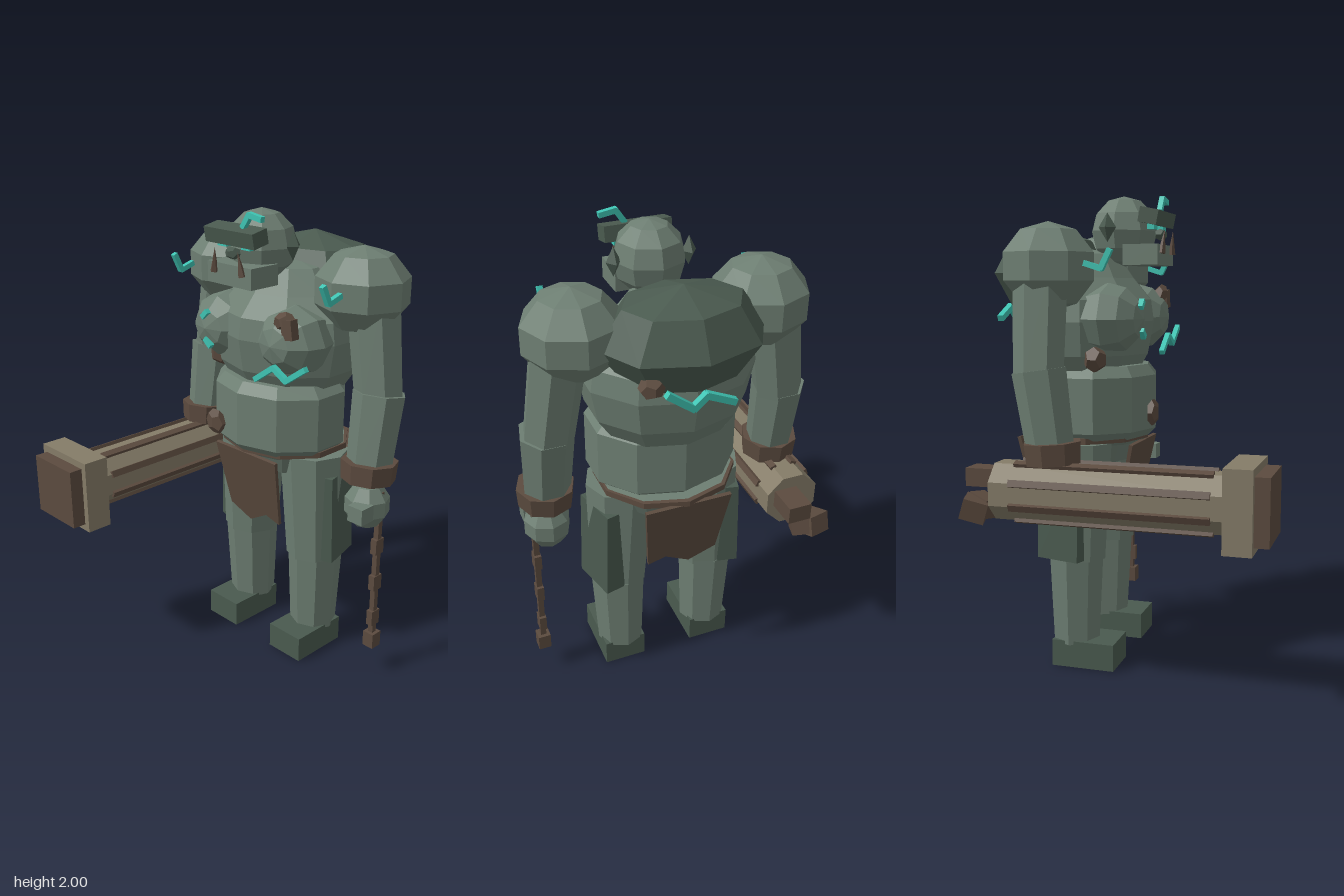
import * as THREE from 'three';

const mat = (name, color) => new THREE.MeshStandardMaterial({ name, color, flatShading: true });

export function createModel() {
  const root = new THREE.Group();
  root.name = 'stoneGiant';
  const stone = mat('stone green', 0x6d7e72);
  const dark = mat('dark stone', 0x4a5a4f);
  const brown = mat('rust brown', 0x5c4b3f);
  const tan = mat('pillar tan', 0x857c68);
  const glow = mat('glowing teal', 0x3fc4b3);
  const CX = 0.02; // body centre line

  const V = (x, y, z) => new THREE.Vector3(x, y, z);
  const add = (name, geo, m, p, r = [0, 0, 0], s = [1, 1, 1]) => {
    const mesh = new THREE.Mesh(geo, m);
    mesh.name = name;
    mesh.position.set(...p);
    mesh.rotation.set(...r);
    mesh.scale.set(...s);
    root.add(mesh);
    return mesh;
  };
  const box = (name, m, size, p, r) => add(name, new THREE.BoxGeometry(...size), m, p, r);
  const ball = (name, m, size, p, w = 8, h = 6, r) =>
    add(name, new THREE.SphereGeometry(1, w, h), m, p, r, size);
  const chunk = (name, m, size, p, r) => add(name, new THREE.DodecahedronGeometry(1), m, p, r, size);
  // tapered limb between two points
  const limb = (name, m, a, b, ra, rb, sides = 8) => {
    const A = V(...a), B = V(...b), d = A.clone().sub(B);
    const mesh = add(name, new THREE.CylinderGeometry(ra, rb, d.length(), sides), m,
      A.clone().add(B).multiplyScalar(0.5).toArray());
    mesh.quaternion.setFromUnitVectors(V(0, 1, 0), d.normalize());
    return mesh;
  };
  // lathe body part squashed in depth
  const turned = (name, m, pts, z, depth, sides) => add(name,
    new THREE.LatheGeometry(pts.map(([r, y]) => new THREE.Vector2(r, y)), sides), m,
    [CX, 0, z], [0, 0, 0], [1, 1, depth]);
  // zigzag crack made of short bars
  const crack = (name, pts, w = 0.022) => {
    for (let i = 0; i + 1 < pts.length; i++) {
      const A = V(...pts[i]), B = V(...pts[i + 1]);
      const bar = box(name, glow, [w, w, A.distanceTo(B) + w * 0.4],
        A.clone().add(B).multiplyScalar(0.5).toArray());
      bar.lookAt(B);
    }
  };

  // Trunk
  turned('belly', stone, [[0, 0.94], [0.24, 0.95], [0.312, 1.01], [0.312, 1.24], [0.27, 1.285], [0, 1.3]], -0.21, 0.85, 10);
  turned('pelvis', stone, [[0, 0.86], [0.22, 0.87], [0.285, 0.99], [0, 1.0]], -0.25, 0.88, 10);
  turned('belt', brown, [[0.22, 0.965], [0.295, 0.965], [0.295, 0.99], [0.22, 0.99]], -0.25, 0.92, 10);
  turned('torso', stone, [[0, 1.23], [0.265, 1.24], [0.325, 1.33], [0.355, 1.47], [0.34, 1.56],
    [0.25, 1.65], [0.17, 1.75], [0, 1.78]], -0.26, 0.86, 10);
  ball('backHump', dark, [0.33, 0.2, 0.245], [CX, 1.67, -0.41], 8, 4);

  // Legs, arms and chest, one pass for each side
  for (const s of [-1, 1]) {
    const x = (d) => CX + s * d;
    box('foot', dark, [0.183, 0.115, 0.275], [x(0.205), 0.0575, -0.183]);
    limb('shin', stone, [x(0.205), 0.48, -0.24], [x(0.2), 0.1, -0.243], 0.122, 0.104);
    limb('thigh', stone, [x(0.185), 0.96, -0.235], [x(0.203), 0.465, -0.235], 0.15, 0.125);
    box('thighPlate', dark, [0.15, 0.4, 0.2], [x(0.25), 0.675, -0.26], [0, s * 0.25, s * 0.03]);
    ball('chest', stone, [0.163, 0.147, 0.15], [x(0.193), 1.482, -0.09], 8, 6, [Math.PI / 2, 0, 0]).scale.set(0.163, 0.15, 0.147);
    ball('shoulder', stone, [0.203, 0.178, 0.2], [x(0.375), 1.69, -0.28], 8, 5);
    limb('upperArm', stone, [x(0.43), 1.66, -0.29], [x(0.488), 1.27, -0.28], 0.112, 0.102, 7);
    limb('forearm', stone, [x(0.494), 1.29, -0.275], [x(0.497), 0.94, -0.225], 0.111, 0.096, 7);
    limb('bracer', brown, [x(0.5), 1.01, -0.225], [x(0.5), 0.925, -0.22], 0.12, 0.114);
    ball('hand', stone, [0.1, 0.108, 0.1], [x(0.502), 0.812, -0.22], 8, 5);
    box('thumb', stone, [0.075, 0.07, 0.075], [x(0.545), 0.815, -0.125]);
    crack('shoulderCrack', [[s * 0.43, 1.75, 0], [s * 0.43, 1.68, -0.035], [s * 0.43, 1.7, -0.1]]);

    // Face pairs
    add('ear', new THREE.OctahedronGeometry(1), dark, [x(0.152), 1.855, -0.11], [0, 0, 0], [0.03, 0.06, 0.038]);
    box('eye', glow, [0.05, 0.022, 0.03], [x(0.068), 1.86, 0.058]);
    add('tusk', new THREE.ConeGeometry(0.017, 0.1, 5), brown, [x(0.073), 1.8, 0.107], [0.1, 0, s * 0.15]);
  }

  // Head
  ball('head', stone, [0.146, 0.147, 0.146], [CX, 1.845, -0.085], 8, 6);
  box('brow', dark, [0.277, 0.062, 0.08], [CX, 1.9, 0.06], [0.2, 0, 0]);
  box('jaw', stone, [0.25, 0.085, 0.15], [CX, 1.745, 0.022]);
  chunk('nose', dark, [0.035, 0.025, 0.03], [CX, 1.83, 0.075]);
  crack('headCrack', [[0.065, 1.935, 0.06], [0.1, 1.985, 0.06], [0.165, 1.975, 0.06]]);

  // Torn cloths hanging from the belt
  const cloth = new THREE.Shape([[-0.165, 0], [0.2, 0], [0.165, -0.33], [0.09, -0.305],
    [-0.02, -0.37], [-0.135, -0.315]].map(([a, b]) => new THREE.Vector2(a, b)));
  const clothGeo = new THREE.ExtrudeGeometry(cloth, { depth: 0.016, bevelEnabled: false });
  add('frontCloth', clothGeo, brown, [0, 0.958, -0.008], [0.21, 0, 0]);
  add('backCloth', clothGeo, brown, [0, 0.97, -0.515], [-0.21, 0, 0]);

  // Cracks on chest and back
  crack('chestCrack', [[0.13, 1.33, 0.052], [0.23, 1.4, 0.052], [0.3, 1.36, 0.052], [0.4, 1.43, 0.052]]);
  crack('chestMark', [[-0.19, 1.53, 0.05], [-0.165, 1.555, 0.05]]);
  crack('chestMark', [[-0.175, 1.435, 0.05], [-0.145, 1.41, 0.05]]);
  crack('backCrack', [[0.16, 1.56, -0.612], [0.06, 1.485, -0.612], [0.01, 1.53, -0.612], [-0.1, 1.48, -0.612]], 0.026);

  // Rusty lumps
  chunk('chestLump', brown, [0.055, 0.04, 0.03], [0.25, 1.585, 0.015], [0, 0, 0.3]);
  box('chestLump', brown, [0.055, 0.08, 0.04], [0.283, 1.56, 0.02], [0, 0, 0.15]);
  chunk('flankLump', brown, [0.05, 0.055, 0.05], [-0.265, 1.32, -0.12]);
  chunk('bellyLump', brown, [0.055, 0.058, 0.025], [-0.09, 1.09, 0.075]);
  chunk('backLump', brown, [0.05, 0.045, 0.045], [0.2, 1.57, -0.56]);

  // Broken chain in the left hand
  const chX = 0.58, chZ = -0.23;
  box('chain', brown, [0.024, 0.72, 0.024], [chX, 0.52, chZ]);
  for (const y of [0.8, 0.63, 0.455, 0.28]) box('chainLink', brown, [0.03, 0.07, 0.05], [chX, y, chZ]);
  box('chainEnd', brown, [0.054, 0.07, 0.054], [chX, 0.17, chZ]);

  // Stone pillar held as a club in the right hand
  const px = -0.485, py = 0.81;
  add('pillar', new THREE.CylinderGeometry(0.122, 0.122, 0.95, 8), tan, [px, py, 0.025], [Math.PI / 2, Math.PI / 8, 0]);
  for (let i = 0; i < 8; i++) {
    const a = Math.PI / 8 + i * Math.PI / 4;
    box('pillarRib', brown, [0.022, 0.028, 0.8],
      [px + Math.cos(a) * 0.12, py + Math.sin(a) * 0.12, 0.037], [0, 0, a]);
  }
  box('pillarCapital', tan, [0.315, 0.32, 0.112], [px, py, 0.546]);
  box('pillarTop', brown, [0.26, 0.26, 0.06], [px, py, 0.63]);
  box('rubble', brown, [0.1, 0.075, 0.13], [-0.44, 0.85, -0.535]);
  box('rubble', brown, [0.1, 0.085, 0.1], [-0.54, 0.735, -0.535], [0.3, 0.3, 0]);
  box('rubble', brown, [0.08, 0.08, 0.1], [-0.49, 0.74, -0.525], [0.3, -0.35, 0]);

  return root;
}
